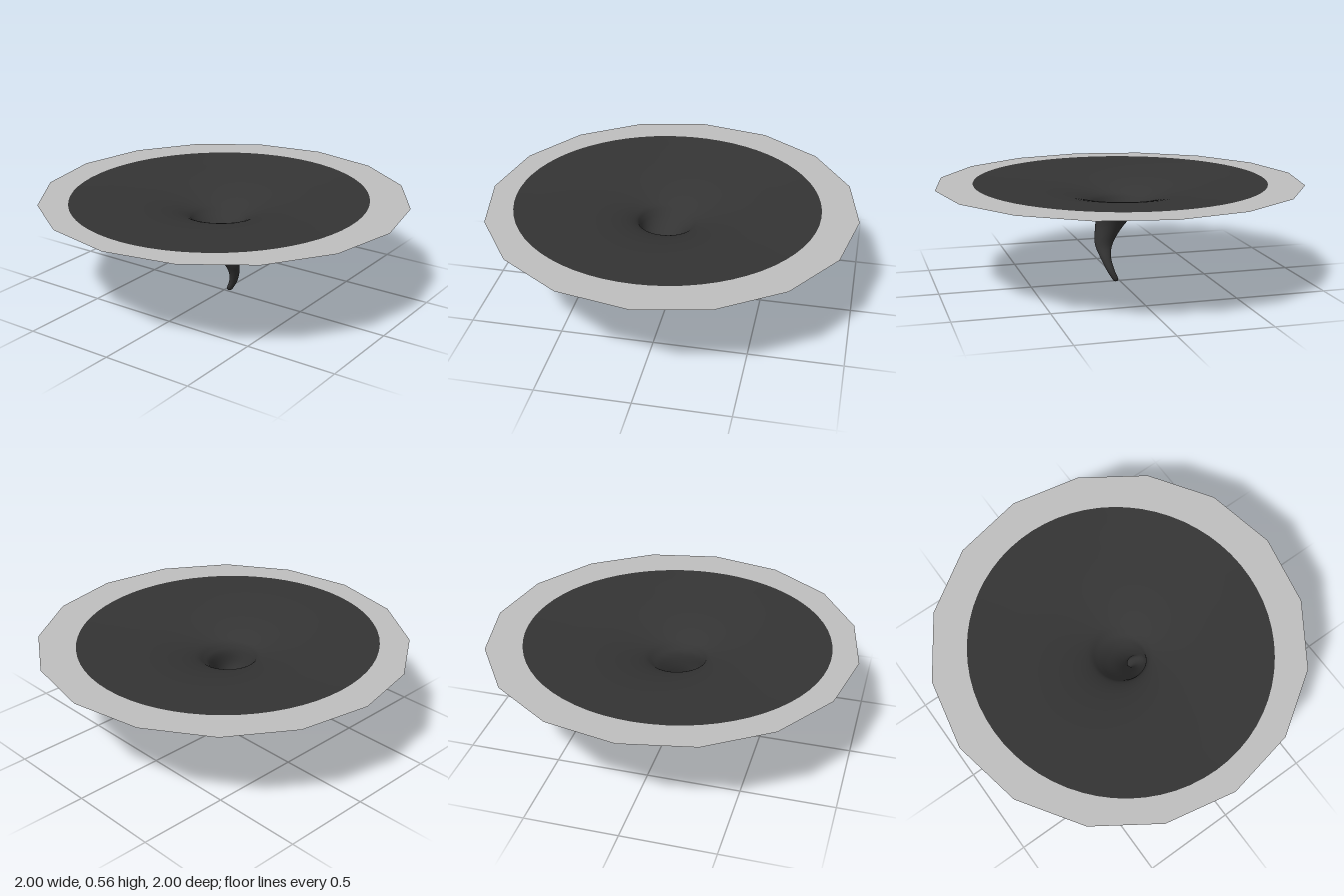
import * as THREE from 'three';
import { mergeVertices } from 'three/addons/utils/BufferGeometryUtils.js';

const TOP = 0.56;

// Horizontal sections of the funnel: y, min x, max x, min z, max z
const SECTIONS = [
  [TOP, -0.855, 0.8, -0.81, 0.79],
  [0.545, -0.6, 0.62, -0.63, 0.59],
  [0.525, -0.4, 0.41, -0.43, 0.39],
  [0.495, -0.27, 0.26, -0.28, 0.25],
  [0.46, -0.2, 0.155, -0.185, 0.165],
  [0.425, -0.178, 0.105, -0.145, 0.13],
  [0.385, -0.168, 0.062, -0.11, 0.114],
  [0.305, -0.15, 0.015, -0.04, 0.118],
  [0.21, -0.092, -0.006, 0.025, 0.128],
  [0.14, -0.045, 0.015, 0.046, 0.108],
  [0.07, -0.015, 0.036, 0.034, 0.078],
  [0.025, -0.007, 0.038, 0.016, 0.052],
  [0.007, 0.0, 0.03, 0.014, 0.04],
  [0, 0.015, 0.015, 0.026, 0.026],
];

function curve(toPoint) {
  return new THREE.CatmullRomCurve3(SECTIONS.map(toPoint), false, 'catmullrom', 0.5);
}

// Wraps an open cylinder around the bent, tapering sections
function funnelGeometry() {
  const centres = curve(([y, a, b, c, d]) => new THREE.Vector3((a + b) / 2, y, (c + d) / 2));
  const radii = curve(([, a, b, c, d]) => new THREE.Vector3((b - a) / 2, 0, (d - c) / 2));
  const geo = new THREE.CylinderGeometry(1, 1, 1, 64, (SECTIONS.length - 1) * 4, true);
  geo.deleteAttribute('uv');
  geo.deleteAttribute('normal');
  const pos = geo.attributes.position;
  for (let i = 0; i < pos.count; i++) {
    const t = THREE.MathUtils.clamp(0.5 - pos.getY(i), 0, 1);
    const c = centres.getPoint(t);
    const r = radii.getPoint(t);
    pos.setXYZ(i, c.x + pos.getX(i) * r.x, c.y, c.z + pos.getZ(i) * r.z);
  }
  const welded = mergeVertices(geo, 1e-5);
  welded.computeVertexNormals();
  return welded;
}

// Flat sixteen-sided rim with an oval opening matching the funnel mouth
function rimGeometry() {
  const shape = new THREE.Shape();
  for (let i = 0; i < 16; i++) {
    const a = (i / 16) * Math.PI * 2;
    if (i === 0) shape.moveTo(1, 0);
    else shape.lineTo(Math.cos(a), Math.sin(a));
  }
  shape.closePath();
  const [, x0, x1, z0, z1] = SECTIONS[0];
  const hole = new THREE.Path();
  hole.absellipse((x0 + x1) / 2, -(z0 + z1) / 2, (x1 - x0) / 2, (z1 - z0) / 2, 0, Math.PI * 2, true);
  shape.holes.push(hole);
  return new THREE.ShapeGeometry(shape, 32).rotateX(-Math.PI / 2).translate(0, TOP, 0);
}

export function createModel() {
  const charcoal = new THREE.MeshStandardMaterial({ color: 0x343434, side: THREE.DoubleSide });
  charcoal.name = 'charcoal';
  const paleGrey = new THREE.MeshStandardMaterial({ color: 0xbebebe, side: THREE.DoubleSide });
  paleGrey.name = 'paleGrey';

  const group = new THREE.Group();
  group.name = 'vortex';
  const funnel = new THREE.Mesh(funnelGeometry(), charcoal);
  funnel.name = 'funnel';
  const rim = new THREE.Mesh(rimGeometry(), paleGrey);
  rim.name = 'rim';
  group.add(funnel, rim);
  return group;
}
